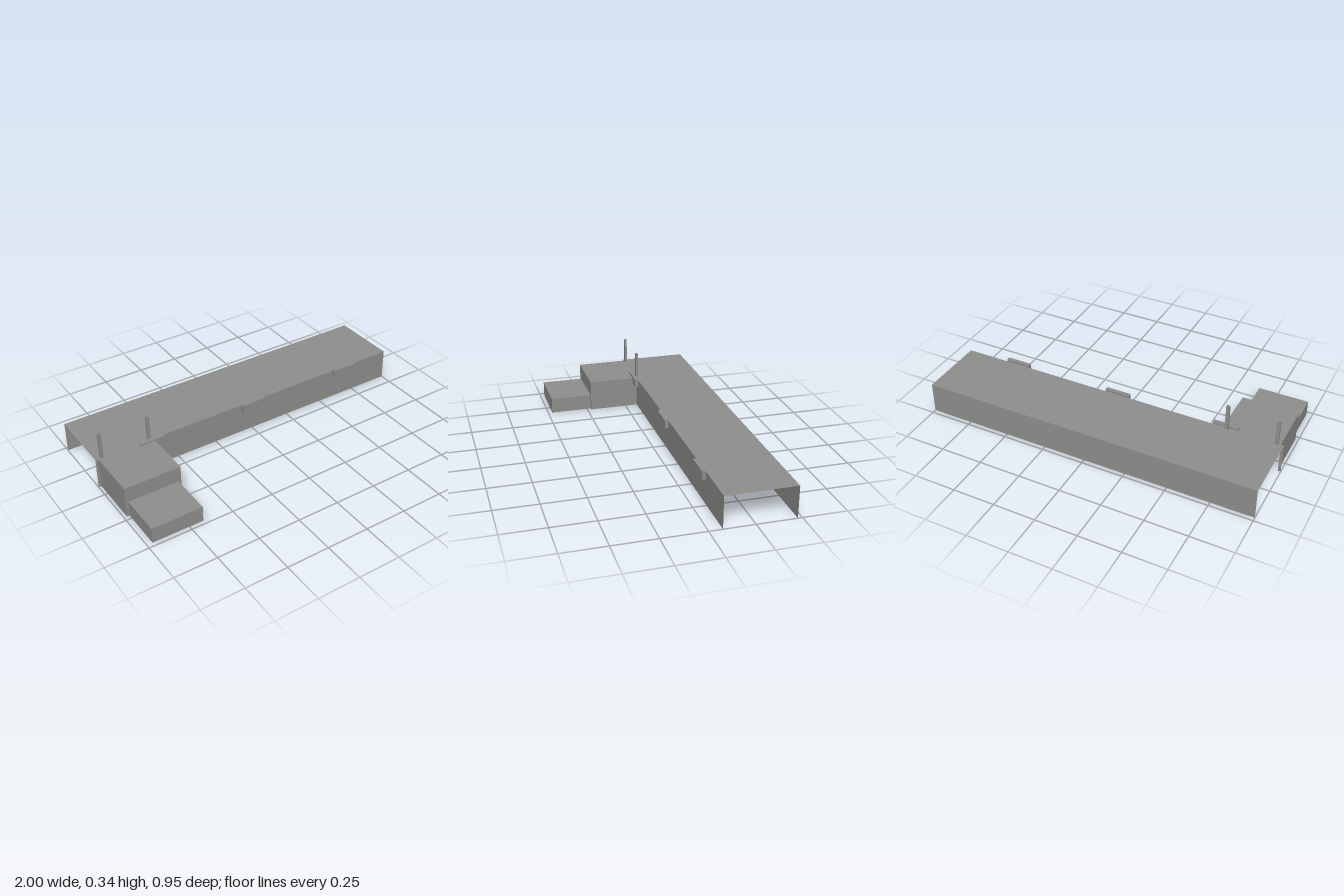
import * as THREE from 'three';

export function createModel() {
  const group = new THREE.Group();
  const grey = new THREE.MeshStandardMaterial({ color: 0x8f8f8c, side: THREE.DoubleSide });
  grey.name = 'warm grey';

  const add = (name, geometry, x, y, z, parent = group) => {
    const mesh = new THREE.Mesh(geometry, grey);
    mesh.name = name;
    mesh.position.set(x, y, z);
    parent.add(mesh);
    return mesh;
  };
  // Thin sheets: horizontal, facing z, facing x
  const deck = (name, x0, x1, z0, z1, y, parent) =>
    add(name, new THREE.PlaneGeometry(x1 - x0, z1 - z0).rotateX(-Math.PI / 2), (x0 + x1) / 2, y, (z0 + z1) / 2, parent);
  const wallZ = (name, x0, x1, y0, y1, z, parent, back = false) =>
    add(name, new THREE.PlaneGeometry(x1 - x0, y1 - y0).rotateY(back ? Math.PI : 0), (x0 + x1) / 2, (y0 + y1) / 2, z, parent);
  const wallX = (name, z0, z1, y0, y1, x, parent, side) =>
    add(name, new THREE.PlaneGeometry(z1 - z0, y1 - y0).rotateY(side * Math.PI / 2), x, (y0 + y1) / 2, (z0 + z1) / 2, parent);
  const section = (name) => {
    const g = new THREE.Group();
    g.name = name;
    group.add(g);
    return g;
  };

  const H = 0.185, stepH = 0.0925;
  const back = -0.475, front = -0.075, landingFront = 0.225, stepFront = 0.475;
  const L0 = -0.983, L1 = -0.65, S0 = -0.967, S1 = -0.667;

  // Long platform, open at both ends, underneath and towards the landing
  const platform = section('platform');
  deck('platformTop', -1, 1, back, front, H, platform);
  wallZ('platformBack', -1, 1, 0, H, back, platform, true);
  wallZ('platformFront', L1, 1, 0, H, front, platform);
  wallZ('platformFrontEnd', -1, L0, 0, H, front, platform);

  // Landing, its front cut out where the step joins
  const landing = section('landing');
  deck('landingTop', L0, L1, front, landingFront, H, landing);
  wallX('landingRightSide', front, landingFront, 0, H, L0, landing, -1);
  wallX('landingLeftSide', front, landingFront, 0, H, L1, landing, 1);
  wallZ('landingFront', L0, L1, stepH, H, landingFront, landing);
  wallZ('landingFrontEdgeRight', L0, S0, 0, stepH, landingFront, landing);
  wallZ('landingFrontEdgeLeft', S1, L1, 0, stepH, landingFront, landing);

  // Low step
  const step = section('step');
  deck('stepTop', S0, S1, landingFront, stepFront, stepH, step);
  wallX('stepRightSide', landingFront, stepFront, 0, stepH, S0, step, -1);
  wallX('stepLeftSide', landingFront, stepFront, 0, stepH, S1, step, 1);
  wallZ('stepFront', S0, S1, 0, stepH, stepFront, step);

  // Blocks along the front edge
  for (const x of [-0.664, 0, 0.664])
    add('edgeBlock', new THREE.BoxGeometry(0.15, 0.05, 0.022), x, 0.172, -0.06);

  // Posts at the landing entrance
  for (const x of [-0.96, -0.674])
    add('post', new THREE.BoxGeometry(0.02, 0.157, 0.0135), x, H + 0.0785, -0.0815);

  return group;
}
